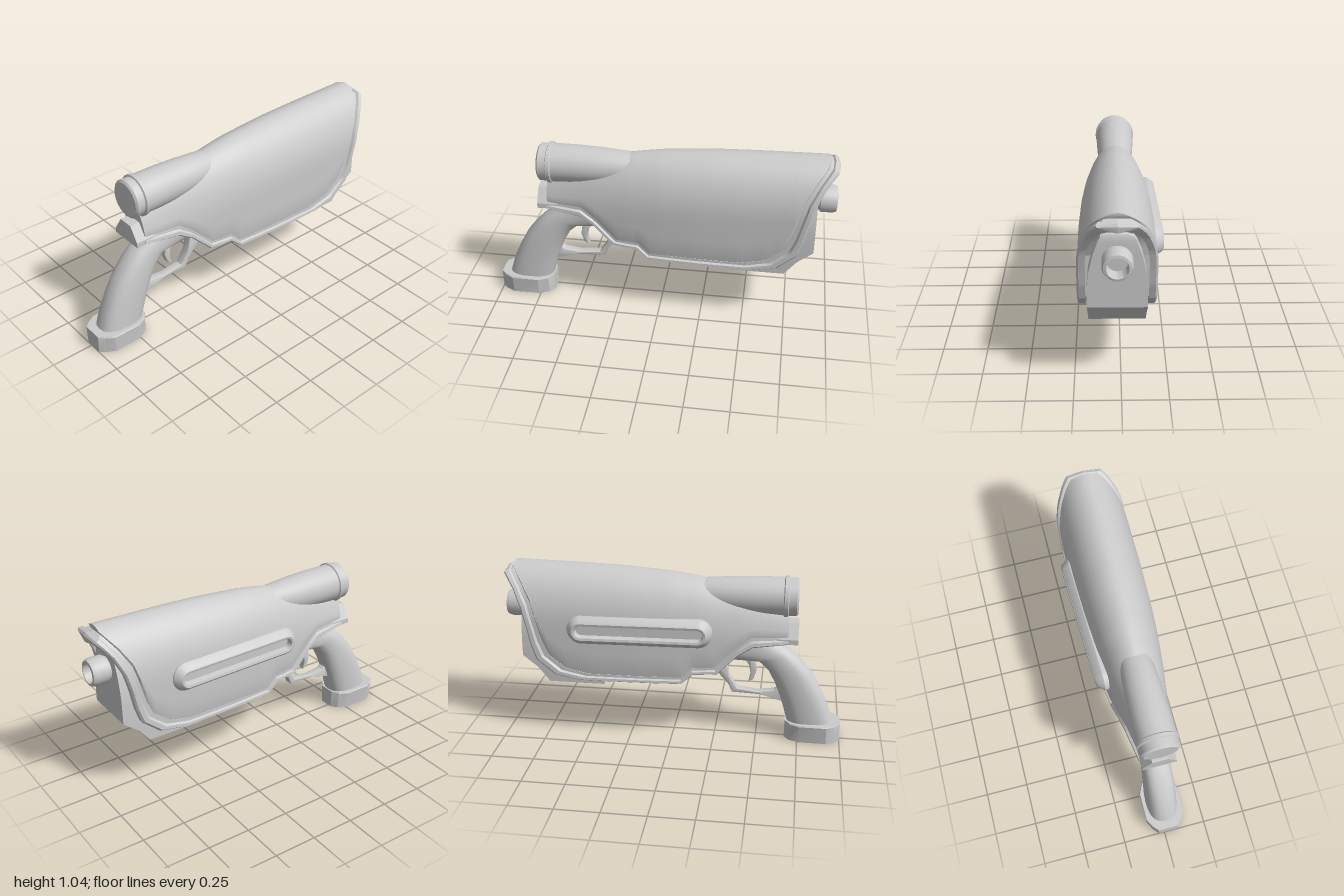
import * as THREE from 'three';
import { toCreasedNormals } from 'three/addons/utils/BufferGeometryUtils.js';

const ZC = 0.02; // centre plane of the body
const grey = new THREE.MeshStandardMaterial({ color: 0xcccccc });
const greyDouble = new THREE.MeshStandardMaterial({ color: 0xcccccc, side: THREE.DoubleSide });
const V = (x, y, z) => new THREE.Vector3(x, y, z);

function mesh(name, geometry, material = grey) {
  const m = new THREE.Mesh(geometry, material);
  m.name = name;
  return m;
}

// Piecewise linear lookup in a table of [x, value]
function lookup(table, x) {
  if (x <= table[0][0]) return table[0][1];
  for (let i = 1; i < table.length; i++) {
    const [x0, v0] = table[i - 1], [x1, v1] = table[i];
    if (x <= x1) return v0 + (v1 - v0) * (x - x0) / (x1 - x0);
  }
  return table[table.length - 1][1];
}

// Skin over closed loops of equal length, capped at both ends, turned outwards
function loft(loops, crease = 0.6) {
  const n = loops[0].length, pts = loops.flat(), tris = [];
  for (let i = 0; i < loops.length - 1; i++) {
    for (let j = 0; j < n; j++) {
      const a = i * n + j, b = i * n + (j + 1) % n;
      tris.push([a, b, b + n], [a, b + n, a + n]);
    }
  }
  [0, loops.length - 1].forEach((l, end) => {
    const c = pts.length;
    pts.push(loops[l].reduce((s, p) => s.add(p), V(0, 0, 0)).divideScalar(n));
    for (let j = 0; j < n; j++) {
      const a = l * n + j, b = l * n + (j + 1) % n;
      tris.push(end ? [a, b, c] : [b, a, c]);
    }
  });
  const mid = pts[0];
  let volume = 0;
  for (const [a, b, c] of tris) {
    const p = pts[a].clone().sub(mid), q = pts[b].clone().sub(mid);
    volume += p.dot(q.cross(pts[c].clone().sub(mid)));
  }
  const g = new THREE.BufferGeometry().setFromPoints(pts);
  g.setIndex(tris.flatMap(([a, b, c]) => (volume < 0 ? [a, c, b] : [a, b, c])));
  return toCreasedNormals(g, crease);
}

// Lathe turned to lie along x; profile points are [radius, x]
function latheX(profile, y) {
  const g = new THREE.LatheGeometry(profile.map(([r, x]) => new THREE.Vector2(r, x)), 32);
  g.rotateZ(-Math.PI / 2).translate(0, y, ZC);
  return toCreasedNormals(g, 0.5);
}

function plate(points, depth, bevel) {
  const shape = new THREE.Shape(points.map(([x, y]) => new THREE.Vector2(x, y)));
  const g = new THREE.ExtrudeGeometry(shape, {
    depth: depth - 2 * bevel, bevelEnabled: true, bevelThickness: bevel, bevelSize: bevel,
    bevelOffset: -bevel, bevelSegments: 2,
  });
  return toCreasedNormals(g.translate(0, 0, ZC - depth / 2 + bevel), 0.6);
}

// Body rules: ridge height, half width and the arched section
const ridge = [[-0.67, 0.83], [-0.4, 0.92], [-0.17, 0.975], [0, 1.0], [0.3, 1.022], [0.6, 1.031], [0.94, 1.037]];
const halfWidth = [[-0.67, 0.11], [-0.5, 0.13], [-0.2, 0.17], [0, 0.189], [0.2, 0.2], [0.45, 0.205], [0.8, 0.204], [1, 0.2]];
const arch = (x, y) => {
  const u = THREE.MathUtils.clamp((lookup(ridge, x) - y) / 0.32, 0, 1);
  return Math.pow(1 - (1 - u) ** 2, 0.53);
};

// Lower edge of the shell, and the outer edge of the trim below it
const shellEdge = [[-0.67, 0.66], [-0.46, 0.66], [-0.39, 0.61], [-0.25, 0.475], [-0.12, 0.47], [-0.06, 0.41],
  [0.48, 0.41], [0.62, 0.44], [0.72, 0.52], [0.76, 0.61], [0.79, 0.72], [0.82, 0.83], [0.875, 0.93], [0.915, 0.985], [0.94, 1.02]];
const trimEdge = [[-0.675, 0.62], [-0.47, 0.60], [-0.38, 0.545], [-0.27, 0.435], [-0.13, 0.43], [-0.06, 0.37],
  [0.54, 0.37], [0.69, 0.40], [0.795, 0.49], [0.825, 0.58], [0.845, 0.68], [0.875, 0.8], [0.92, 0.9], [0.96, 0.955], [0.995, 0.995]];

function hull(edge, scale, lift, xEnd) {
  const xs = edge.map((p) => p[0]);
  for (let i = 1; i < 40; i++) xs.push(-0.67 + i * 0.04);
  const columns = [...new Set(xs)].filter((x) => x >= -0.67 && x <= xEnd).sort((a, b) => a - b);
  const N = 14;
  return loft(columns.map((x) => {
    const bottom = lookup(edge, x) + lift, top = lookup(ridge, x) - (1 - scale) * 0.2, loop = [];
    for (let i = -N; i <= N; i++) {
      const s = Math.cos(i / N * Math.PI / 2);
      const y = bottom + (top - bottom) * s;
      const w = lookup(halfWidth, x) * arch(x, y) * scale * (Math.abs(i) === N ? 0.94 : 1);
      loop.push(V(x, y, ZC + (i === 0 ? 0 : Math.sign(i) * w)));
    }
    return loop;
  }), 0.7);
}

// Raised trim following the shell edge on one side
function trim(side) {
  const section = [[-0.1, -0.035], [0, -0.01], [0.35, -0.01], [0.5, 0.003], [0.85, 0.004], [1, -0.006], [1, -0.04]];
  const loops = [], steps = 4, last = (shellEdge.length - 1) * steps;
  for (let k = 0; k <= last; k++) {
    const i = Math.min(Math.floor(k / steps), shellEdge.length - 2), t = k / steps - i;
    const at = (e, c) => THREE.MathUtils.lerp(e[i][c], e[i + 1][c], t);
    loops.push(section.map(([f, out]) => {
      const x = THREE.MathUtils.lerp(at(shellEdge, 0), at(trimEdge, 0), f);
      const y = THREE.MathUtils.lerp(at(shellEdge, 1), at(trimEdge, 1), f);
      const a = arch(x, y), w = k === last ? 0 : Math.max(0, lookup(halfWidth, x) * a + out);
      return V(x, y + out * (k === last ? 1 : 1 - a), ZC + side * w);
    }));
  }
  return loft(loops, 0.5);
}

// Rounded loop in a horizontal or tilted plane between a rear and a front point
function gripLoop([x0, y0], [x1, y1], w, power) {
  return Array.from({ length: 24 }, (_, i) => {
    const a = i / 24 * Math.PI * 2;
    const c = Math.sign(Math.cos(a)) * Math.abs(Math.cos(a)) ** power;
    const s = Math.sign(Math.sin(a)) * Math.abs(Math.sin(a)) ** power;
    return V((x0 + x1) / 2 + c * (x1 - x0) / 2, (y0 + y1) / 2 + c * (y1 - y0) / 2, ZC + s * w);
  });
}

// Stadium-shaped loop for the side slot, leaning out slightly towards the front
function slotLoop(r, z) {
  return Array.from({ length: 32 }, (_, i) => {
    const a = (i + 0.5) / 32 * Math.PI * 2;
    const x = 0.18 + Math.sign(Math.cos(a)) * 0.335 + Math.cos(a) * r;
    return V(x, 0.69 + Math.sin(a) * r, z - 0.025 * (x + 0.2) / 0.8);
  });
}

export function createModel() {
  const group = new THREE.Group();

  // Body
  group.add(mesh('shell', hull(shellEdge, 1, 0, 0.94)));
  group.add(mesh('core', hull(trimEdge, 0.86, 0.012, 0.8)));
  for (const side of [1, -1]) group.add(mesh(side > 0 ? 'trimLeft' : 'trimRight', trim(side), greyDouble));

  // Front block: rows of [y, front x, half width]
  const rows = [[0.33, 0.73, 0.152], [0.42, 0.8, 0.155], [0.49, 0.888, 0.156], [0.6, 0.888, 0.155], [0.68, 0.888, 0.148],
    [0.78, 0.888, 0.125], [0.86, 0.888, 0.098], [0.885, 0.885, 0.085], [0.897, 0.88, 0.05]];
  group.add(mesh('frontBlock', loft(rows.map(([y, x, w]) =>
    [V(0.4, y, ZC - w), V(x, y, ZC - w), V(x, y, ZC + w), V(0.4, y, ZC + w)]), 0.45)));

  // Barrel
  group.add(mesh('barrel', latheX([[0.068, 0.8], [0.068, 0.9], [0.079, 0.905], [0.079, 0.975], [0.072, 0.995],
    [0.058, 0.998], [0.054, 0.985], [0.054, 0.92], [0, 0.92]], 0.768), greyDouble));

  // Sight tube on top, tapering into the shell
  group.add(mesh('sightTube', latheX([[0, -0.72], [0.098, -0.72], [0.11, -0.71], [0.11, -0.665], [0.12, -0.66], [0.12, -0.64],
    [0.112, -0.635], [0.112, -0.5], [0.106, -0.35], [0.092, -0.17], [0.06, 0], [0, 0.1]], 0.878), greyDouble));

  // Rear block under the sight
  const gable = [[-0.1, 0.62], [0.1, 0.62], [0.1, 0.65], [0.045, 0.735], [-0.045, 0.735], [-0.1, 0.65]];
  group.add(mesh('rearBlock', loft([-0.728, -0.45].map((x) => gable.map(([z, y]) => V(x, y, ZC + z))), 0.3)));

  // Side slot
  group.add(mesh('sideSlot', loft([[0.085, -0.12], [0.085, -0.165], [0.06, -0.202], [0.05, -0.208],
    [0.036, -0.205], [0.03, -0.17]].map(([r, z]) => slotLoop(r, z)), 0.5), greyDouble));

  // Grip and its end cap
  const grip = [[[-0.96, 0.09], [-0.685, 0.09], 0.092], [[-0.925, 0.2], [-0.66, 0.18], 0.091], [[-0.88, 0.3], [-0.635, 0.26], 0.09],
    [[-0.825, 0.4], [-0.6, 0.35], 0.087], [[-0.76, 0.48], [-0.56, 0.425], 0.083], [[-0.69, 0.55], [-0.5, 0.48], 0.08],
    [[-0.61, 0.6], [-0.4, 0.48], 0.08], [[-0.55, 0.66], [-0.28, 0.48], 0.08]];
  group.add(mesh('grip', loft(grip.map(([a, b, w]) => gripLoop(a, b, w, 0.8)), 0.9)));
  const capOutline = [[-1, 0.5], [-0.97, 0.75], [-0.92, 1], [-0.76, 1], [-0.7, 0.75], [-0.672, 0.4]];
  const capLoop = (y, w) => [...capOutline.map(([x, z]) => V(x, y, ZC + z * w)),
    ...capOutline.slice().reverse().map(([x, z]) => V(x, y, ZC - z * w))];
  group.add(mesh('gripCap', loft([capLoop(0, 0.108), capLoop(0.105, 0.117), capLoop(0.112, 0.112)], 0.45)));

  // Trigger and guard
  group.add(mesh('triggerGuard', plate([[-0.655, 0.225], [-0.52, 0.262], [-0.35, 0.268], [-0.33, 0.315], [-0.23, 0.43],
    [-0.23, 0.48], [-0.31, 0.48], [-0.33, 0.37], [-0.38, 0.292], [-0.5, 0.277], [-0.6, 0.29], [-0.635, 0.32]], 0.052, 0.004)));
  group.add(mesh('trigger', plate([[-0.41, 0.5], [-0.45, 0.44], [-0.458, 0.39], [-0.447, 0.34], [-0.475, 0.355],
    [-0.493, 0.41], [-0.485, 0.46], [-0.46, 0.5]], 0.04, 0.004)));

  return group;
}
